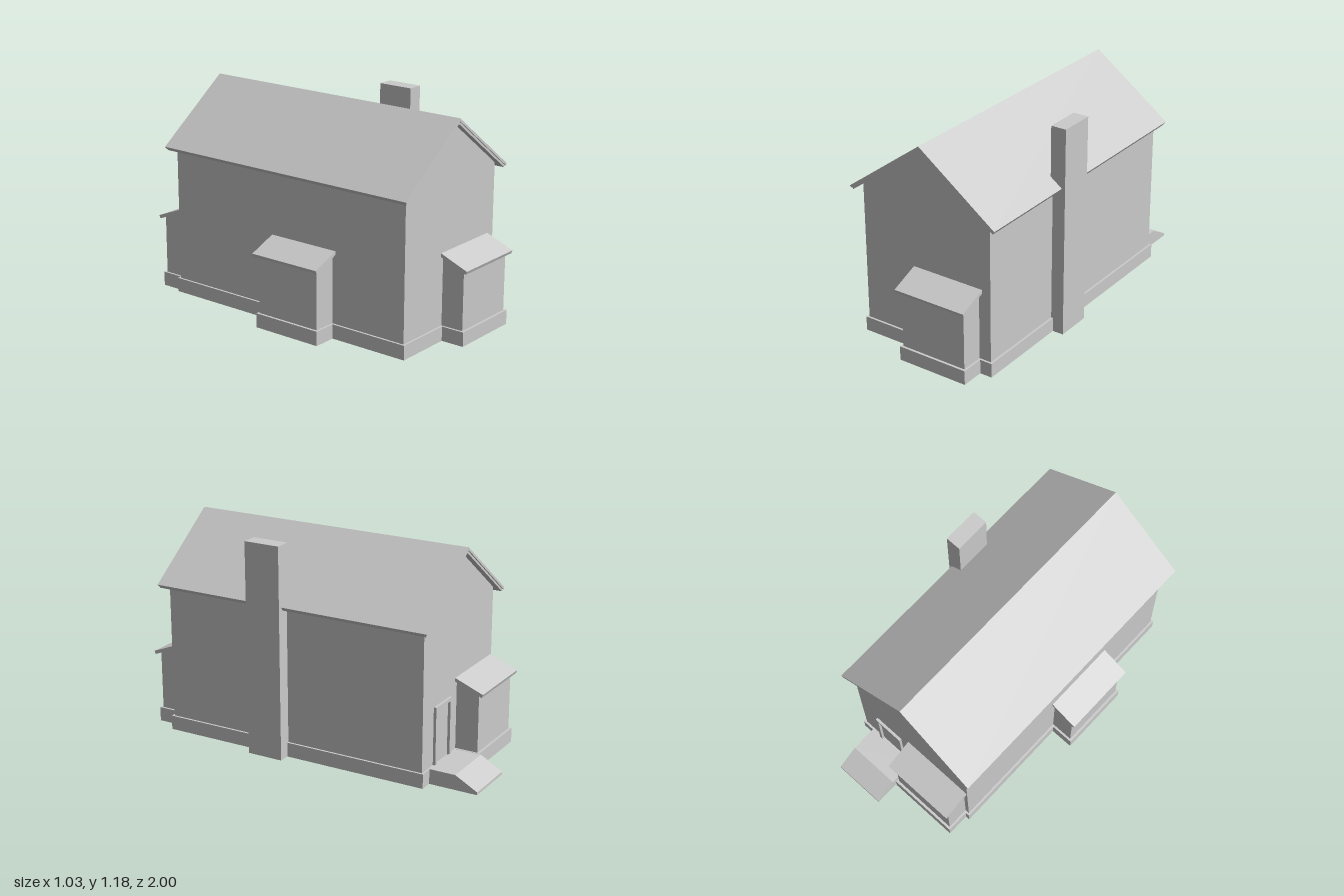
import * as THREE from 'three';

const material = new THREE.MeshStandardMaterial({ color: 0xcccccc, side: THREE.DoubleSide, flatShading: true });

function add(parent, name, geometry, x = 0, y = 0, z = 0) {
  const mesh = new THREE.Mesh(geometry, material);
  mesh.name = name;
  mesh.position.set(x, y, z);
  parent.add(mesh);
  return mesh;
}

const shapeOf = (pts) => new THREE.Shape(pts.map(([x, y]) => new THREE.Vector2(x, y)));

// Flat convex panels, each given by its corners in order
function sheets(panels) {
  const pos = [];
  for (const p of panels)
    for (let i = 1; i < p.length - 1; i++) pos.push(...p[0], ...p[i], ...p[i + 1]);
  const g = new THREE.BufferGeometry();
  g.setAttribute('position', new THREE.Float32BufferAttribute(pos, 3));
  g.computeVertexNormals();
  return g;
}

const extrude = (shape, depth) => new THREE.ExtrudeGeometry(shape, { depth, bevelEnabled: false });

// Side profile of (z, y) points, swept across x and centred
const sweepX = (pts, width) =>
  extrude(shapeOf(pts), width).translate(0, 0, -width / 2).rotateY(-Math.PI / 2);

// House body and roof dimensions
const L = -0.355, R = 0.44, F = 0.84, B = -0.715, MID = 0.0425;
const BASE = 0.08, RIDGE = 1.185, SLOPE = 0.736, EAVE = 0.453;
const STEP = 0.012; // plinth overhang

// Lean-to bays: wall position and facing angle
const bays = [
  { name: 'frontBay', at: [0.175, 0, F], turn: 0 },
  { name: 'leftBay', at: [L, 0, 0.185], turn: -Math.PI / 2 },
  { name: 'backBay', at: [-0.135, 0, B], turn: Math.PI },
];
const BAY_W = 0.195, BAY_D = 0.13;

function makeBay(name) {
  const bay = new THREE.Group();
  bay.name = name;
  const w = BAY_W, d = BAY_D, hi = 0.462, lo = 0.411;
  add(bay, name + 'Walls', sheets([
    [[-w, BASE, d], [w, BASE, d], [w, lo, d], [-w, lo, d]],
    [[w, BASE, d], [w, BASE, 0], [w, hi, 0], [w, lo, d]],
    [[-w, BASE, 0], [-w, BASE, d], [-w, lo, d], [-w, hi, 0]],
  ]));
  add(bay, name + 'Roof',
    sweepX([[-0.005, 0.484], [-0.005, 0.464], [0.154, 0.4], [0.161, 0.418]], 0.43));
  return bay;
}

// Chevron roof layer between two perpendicular depths under the roof surface
function roofLayer(from, to, length) {
  const n = Math.hypot(1, SLOPE);
  const ridge = (t) => [0, RIDGE - t * n];
  const eave = (t, s) => [s * (EAVE - t * SLOPE / n), RIDGE - EAVE * SLOPE - t / n];
  return extrude(shapeOf([
    ridge(from), eave(from, -1), eave(to, -1), ridge(to), eave(to, 1), eave(from, 1),
  ]), length).translate(MID, 0, (F + B) / 2 - length / 2);
}

export function createModel() {
  const house = new THREE.Group();
  house.name = 'house';

  // Gabled walls, open underneath
  const apex = RIDGE - 0.031;
  const top = apex - (R - MID) * SLOPE;
  const gable = (z) => [[L, BASE, z], [R, BASE, z], [R, top, z], [MID, apex, z], [L, top, z]];
  const side = (x) => [[x, BASE, F], [x, BASE, B], [x, top, B], [x, top, F]];
  add(house, 'walls', sheets([gable(F), gable(B).reverse(), side(R), side(L).reverse()]));

  // Roof covering over a slightly shorter under-layer
  add(house, 'roof', roofLayer(0, 0.013, 1.635));
  add(house, 'roofUnderlay', roofLayer(0.013, 0.025, 1.621));

  // Bays on three sides
  for (const { name, at, turn } of bays) {
    const bay = makeBay(name);
    bay.position.set(...at);
    bay.rotation.y = turn;
    house.add(bay);
  }

  // Plinth skirt around house and bays, as (x, z) corners
  const l = L - STEP, r = R + STEP, f = F + STEP, b = B - STEP;
  const hw = BAY_W + STEP, out = BAY_D + 0.014;
  const [fx, lz, bx] = [0.175, 0.185, -0.135];
  const outline = [
    [r, f], [fx + hw, f], [fx + hw, F + out], [fx - hw, F + out], [fx - hw, f],
    [l, f], [l, lz + hw], [L - out, lz + hw], [L - out, lz - hw], [l, lz - hw],
    [l, b], [bx - hw, b], [bx - hw, B - out], [bx + hw, B - out], [bx + hw, b], [r, b],
  ];
  add(house, 'plinthSkirt', sheets(outline.map(([x, z], i) => {
    const [x2, z2] = outline[(i + 1) % outline.length];
    return [[x, 0, z], [x, BASE, z], [x2, BASE, z2], [x2, 0, z2]];
  })));

  // Narrow ledge on top of the skirt
  const ledge = shapeOf(outline);
  const rect = (x0, x1, z0, z1) => shapeOf([[x0, z0], [x1, z0], [x1, z1], [x0, z1]]);
  ledge.holes.push(
    rect(L, R, B, F),
    rect(fx - BAY_W, fx + BAY_W, f, F + BAY_D),
    rect(L - BAY_D, l, lz - BAY_W, lz + BAY_W),
    rect(bx - BAY_W, bx + BAY_W, B - BAY_D, b),
  );
  add(house, 'plinthLedge', new THREE.ShapeGeometry(ledge).rotateX(Math.PI / 2), 0, BASE, 0);

  // Chimney with an open foot: drop the bottom face of a box
  const chimney = new THREE.BoxGeometry(0.088, 1.183, 0.205);
  const index = Array.from(chimney.index.array);
  index.splice(18, 6);
  chimney.setIndex(index);
  chimney.clearGroups();
  add(house, 'chimney', chimney, 0.471, 1.183 / 2, 0.1925);

  // Back door surround
  const frame = shapeOf([
    [-0.09, 0], [-0.072, 0], [-0.072, 0.302], [0.072, 0.302],
    [0.072, 0], [0.09, 0], [0.09, 0.32], [-0.09, 0.32],
  ]);
  add(house, 'doorFrame', extrude(frame, 0.015), 0.23, BASE, B - 0.015);

  // Landing and ramp to the back door
  const ramp = sweepX([[0, 0], [0.273, 0], [0.273, 0.015], [0.148, 0.083], [0, 0.083]], 0.3);
  add(house, 'ramp', ramp, 0.23, 0, b).rotation.y = Math.PI;

  return house;
}
